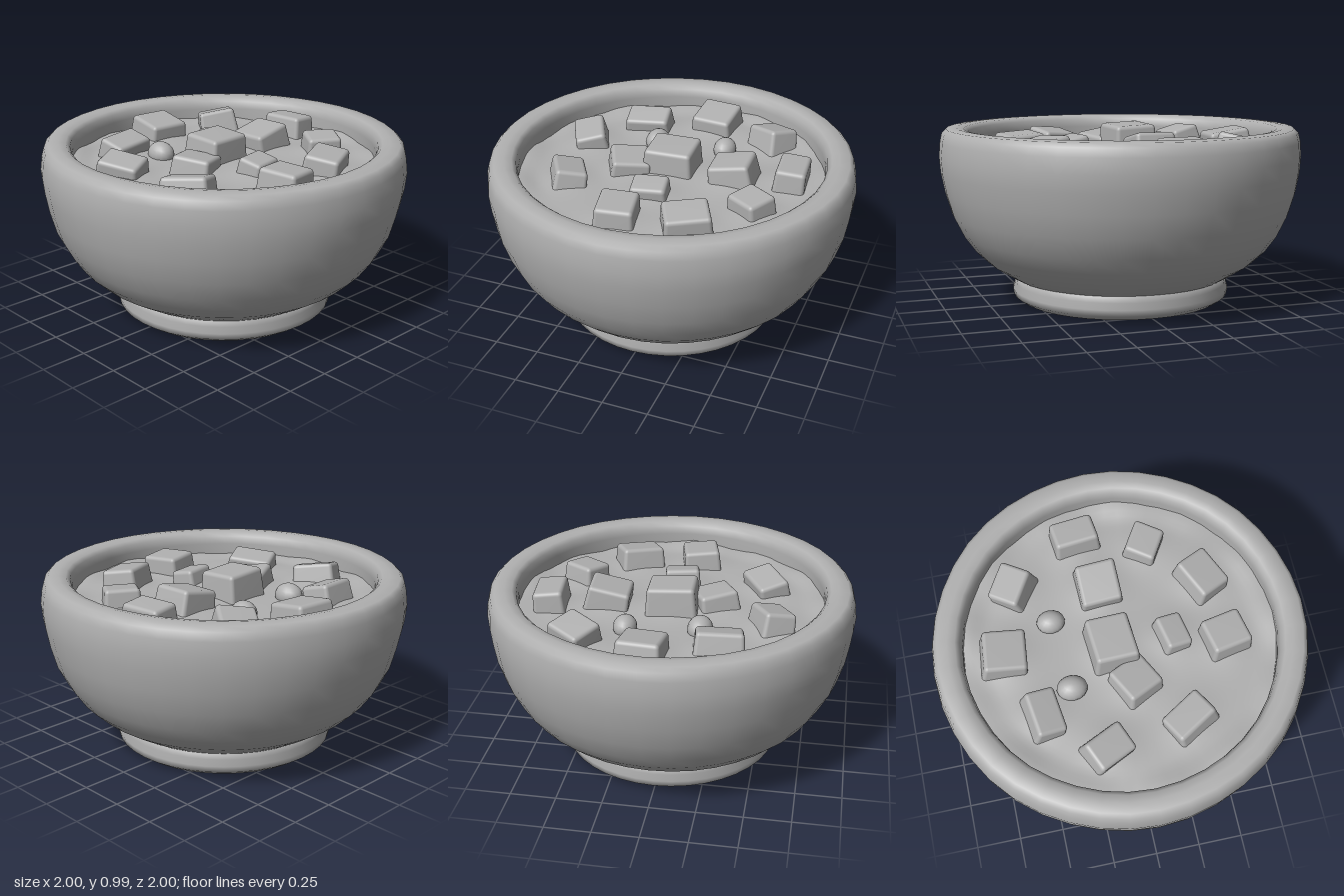
import * as THREE from 'three';
import { RoundedBoxGeometry } from 'three/addons/geometries/RoundedBoxGeometry.js';
import { mergeVertices } from 'three/addons/utils/BufferGeometryUtils.js';

const clay = new THREE.MeshStandardMaterial({ color: 0xb0b0b0 });
clay.name = 'grey clay';

// Moves every vertex by a rule, then welds and smooths the surface
function reshape(geometry, rule) {
  geometry.deleteAttribute('uv');
  geometry.deleteAttribute('normal');
  const welded = mergeVertices(geometry, 1e-4);
  const p = welded.attributes.position;
  const v = new THREE.Vector3();
  for (let i = 0; i < p.count; i++) {
    rule(v.fromBufferAttribute(p, i));
    p.setXYZ(i, v.x, v.y, v.z);
  }
  welded.computeVertexNormals();
  return welded;
}

// x, z, width, depth, yaw, top height, tilt about x, tilt about z
const CHUNKS = [
  [-0.32, -0.48, 0.26, 0.17, 0.15, 0.93, 0.25, 0.05],
  [0.05, -0.62, 0.24, 0.24, -0.1, 0.94, 0.15, 0],
  [0.42, -0.5, 0.22, 0.19, -0.6, 0.94, -0.2, 0.15],
  [-0.56, -0.19, 0.18, 0.24, 0.45, 0.93, 0.15, 0.2],
  [-0.24, 0.03, 0.22, 0.22, 0.45, 0.92, 0.1, -0.1],
  [-0.015, -0.05, 0.27, 0.24, 0.08, 0.98, 0.04, -0.02],
  [0.34, -0.05, 0.24, 0.23, 0.02, 0.95, 0, 0.2],
  [0.64, -0.12, 0.17, 0.25, 0.12, 0.95, 0, -0.08],
  [0.53, 0.24, 0.2, 0.18, -0.55, 0.93, 0.1, 0],
  [-0.5, 0.27, 0.18, 0.26, 0.5, 0.92, -0.1, -0.2],
  [-0.02, 0.27, 0.2, 0.15, 0.2, 0.92, 0.2, 0],
  [-0.09, 0.55, 0.21, 0.23, 0.2, 0.94, 0.05, -0.05],
  [0.27, 0.5, 0.25, 0.2, 0.45, 0.94, 0.15, 0.05],
];

// x, z, radius of the small half-sunk lumps
const LUMPS = [[-0.2, -0.3, 0.075], [0.19, -0.34, 0.07]];

// Height of the broth: low mounds around chunks and a wavy climb at the wall
function brothHeight(x, z) {
  const r = Math.hypot(x, z), a = Math.atan2(z, x);
  let y = 0.825 + 0.006 * Math.sin(7 * x + 3 * z) * Math.cos(6 * z);
  for (const [cx, cz] of CHUNKS) {
    y += 0.03 * Math.exp(-((x - cx) ** 2 + (z - cz) ** 2) / 0.02);
  }
  const wall = THREE.MathUtils.smoothstep(r, 0.7, 0.84);
  return y + wall * (0.018 + 0.018 * Math.sin(9 * a) * Math.sin(4 * a + 1));
}

export function createModel() {
  const group = new THREE.Group();
  const add = (name, geometry, parent = group) => {
    const mesh = new THREE.Mesh(geometry, clay);
    mesh.name = name;
    parent.add(mesh);
    return mesh;
  };

  // Foot ring with a closed underside
  const foot = [[0, 0], [0.53, 0], [0.56, 0.008], [0.6, 0.035], [0.607, 0.07],
    [0.595, 0.105], [0.6, 0.135], [0.57, 0.16], [0.5, 0.17]];
  add('foot', new THREE.LatheGeometry(foot.map(p => new THREE.Vector2(...p)), 40));

  // Bowl wall, rounded rim and inner wall, slightly uneven by hand
  const wall = [[0.5, 0.13], [0.6, 0.143], [0.67, 0.185], [0.74, 0.23], [0.82, 0.305],
    [0.88, 0.39], [0.935, 0.5], [0.97, 0.62], [0.99, 0.73], [0.998, 0.82], [0.99, 0.9],
    [0.978, 0.945], [0.955, 0.967], [0.9, 0.972], [0.86, 0.965], [0.838, 0.945],
    [0.83, 0.9], [0.835, 0.78]];
  const bowl = new THREE.LatheGeometry(wall.map(p => new THREE.Vector2(...p)), 40);
  add('bowl', reshape(bowl, v => {
    const a = Math.atan2(v.z, v.x);
    const s = 1 + 0.003 * Math.sin(5 * a + 9 * v.y) * Math.sin(3 * a - 13 * v.y);
    v.x *= s;
    v.z *= s;
  }));

  // Broth surface
  const broth = new THREE.RingGeometry(0.001, 0.845, 64, 28);
  broth.rotateX(-Math.PI / 2);
  add('broth', reshape(broth, v => { v.y = brothHeight(v.x, v.z); }));

  // Cut chunks, narrower at the top and sunk into the broth
  const chunks = new THREE.Group();
  chunks.name = 'chunks';
  group.add(chunks);
  const h = 0.2;
  CHUNKS.forEach(([x, z, w, d, yaw, top, tiltX, tiltZ], i) => {
    const box = reshape(new RoundedBoxGeometry(w, h, d, 3, 0.022), v => {
      const s = 1 - 0.5 * (v.y / h) * 0.25;
      v.x = v.x * s + 0.04 * v.z * Math.sin(i * 2.3);
      v.z *= s;
    });
    const mesh = add('chunk', box, chunks);
    mesh.rotation.set(tiltX, yaw, tiltZ, 'YXZ');
    mesh.position.set(x, top - h / 2, z);
  });

  // Small round lumps
  for (const [x, z, r] of LUMPS) {
    const lump = add('lump', new THREE.SphereGeometry(r, 16, 12), chunks);
    lump.scale.set(0.9, 0.9, 1.1);
    lump.position.set(x, 0.845, z);
  }

  return group;
}
